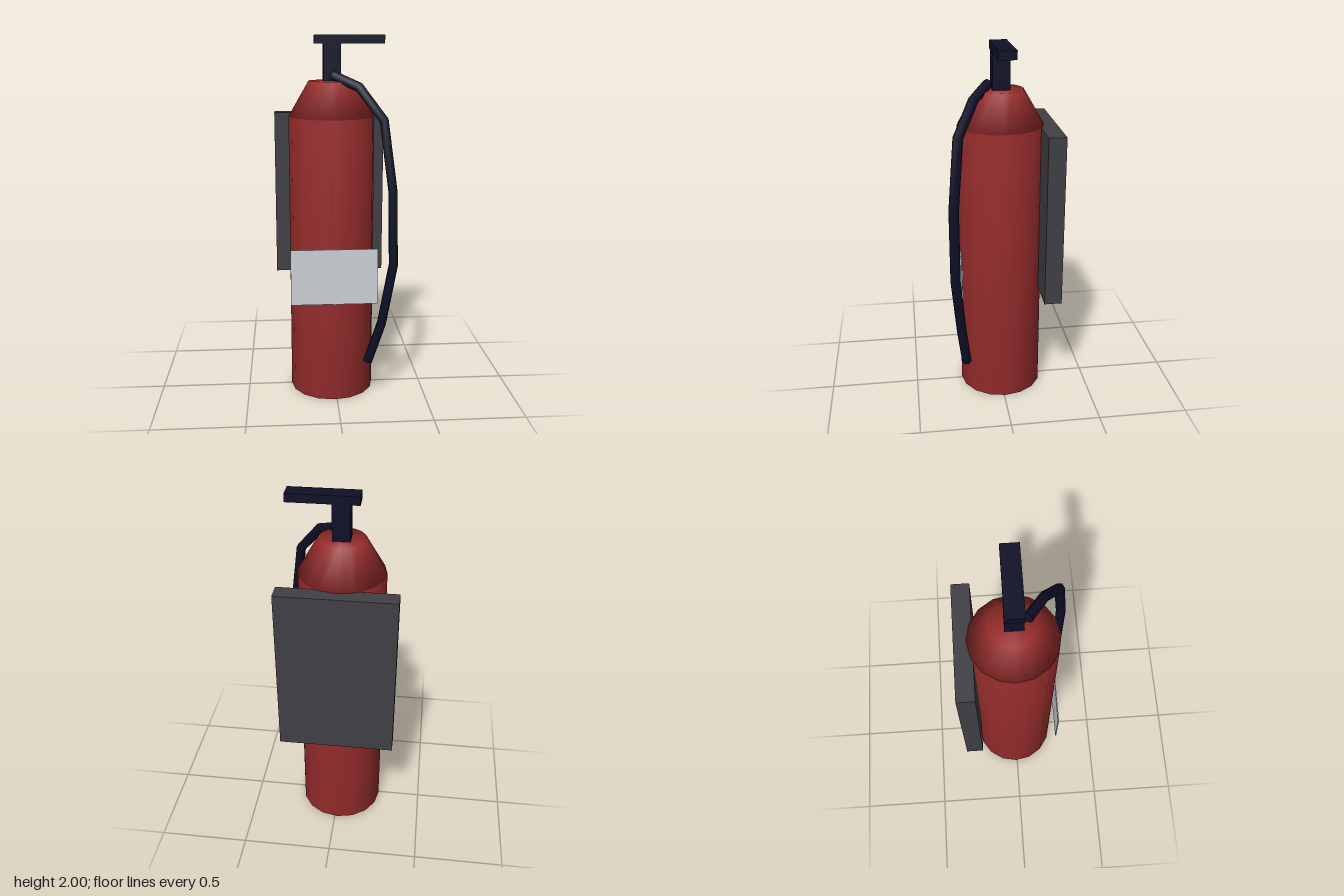
import * as THREE from 'three';
import { mergeVertices } from 'three/addons/utils/BufferGeometryUtils.js';

const material = (name, color) => {
  const m = new THREE.MeshStandardMaterial({ color });
  m.name = name;
  return m;
};

export function createModel() {
  const red = material('red paint', 0x962c2c);
  const black = material('dark rubber', 0x0f1028);
  const grey = material('bracket grey', 0x404045);
  const silver = material('label silver', 0xcdd1d8);
  const model = new THREE.Group();
  model.name = 'fireExtinguisher';

  const add = (name, geometry, mat) => {
    const mesh = new THREE.Mesh(geometry, mat);
    mesh.name = name;
    model.add(mesh);
    return mesh;
  };

  // Box given by its lower and upper limits on each axis
  const box = (name, mat, [x0, x1], [y0, y1], [z0, z1]) =>
    add(name, new THREE.BoxGeometry(x1 - x0, y1 - y0, z1 - z0), mat)
      .position.set((x0 + x1) / 2, (y0 + y1) / 2, (z0 + z1) / 2);

  // 16-sided drum with normals smoothed right across its caps
  const drum = (name, rTop, rBottom, y0, y1) => {
    let g = new THREE.CylinderGeometry(rTop, rBottom, y1 - y0, 16);
    g.deleteAttribute('uv');
    g.deleteAttribute('normal');
    g = mergeVertices(g, 1e-4);
    g.computeVertexNormals();
    add(name, g, red).position.set(-0.016, (y0 + y1) / 2, -0.006);
  };

  // Tank and shoulder
  drum('tank', 0.235, 0.235, 0, 1.57);
  drum('shoulder', 0.125, 0.235, 1.57, 1.76);

  // Valve stem and lever
  box('valveStem', black, [-0.062, 0.031], [1.74, 1.96], [-0.053, 0.041]);
  box('lever', black, [-0.11, 0.266], [1.955, 2], [-0.053, 0.041]);

  // Wall bracket and front label
  box('wallBracket', grey, [-0.33, 0.298], [0.63, 1.57], [-0.305, -0.21]);
  box('label', silver, [-0.252, 0.219], [0.57, 0.88], [0.2295, 0.2355]);

  // Hose: one tube segment per path point, with closed ends
  const points = [
    [-0.012, 1.79, 0.06], [0.12, 1.733, 0.15], [0.24, 1.57, 0.242], [0.288, 1.2, 0.275],
    [0.297, 0.8, 0.275], [0.243, 0.46, 0.243], [0.172, 0.222, 0.213],
  ].map((p) => new THREE.Vector3(...p));
  const path = new THREE.CatmullRomCurve3(points, false, 'catmullrom');
  path.getPointAt = path.getPoint;
  path.getTangentAt = path.getTangent;
  const tube = new THREE.TubeGeometry(path, 6, 0.027, 6, false);
  add('hose', tube, black);

  const rings = tube.attributes.position;
  [[0, 1], [6, -1]].forEach(([ring, turn]) => {
    const centre = points[ring];
    const corners = [];
    for (let i = 0; i < 6; i++) {
      const a = new THREE.Vector3().fromBufferAttribute(rings, ring * 7 + i);
      const b = new THREE.Vector3().fromBufferAttribute(rings, ring * 7 + i + 1);
      // Wind each triangle so that it faces out of the tube
      const out = path.getTangent(ring / 6).multiplyScalar(-turn);
      const n = a.clone().sub(centre).cross(b.clone().sub(centre));
      corners.push(centre, ...(n.dot(out) > 0 ? [a, b] : [b, a]));
    }
    const cap = new THREE.BufferGeometry().setFromPoints(corners);
    cap.computeVertexNormals();
    add(ring ? 'hoseNozzleEnd' : 'hoseValveEnd', cap, black);
  });

  return model;
}
